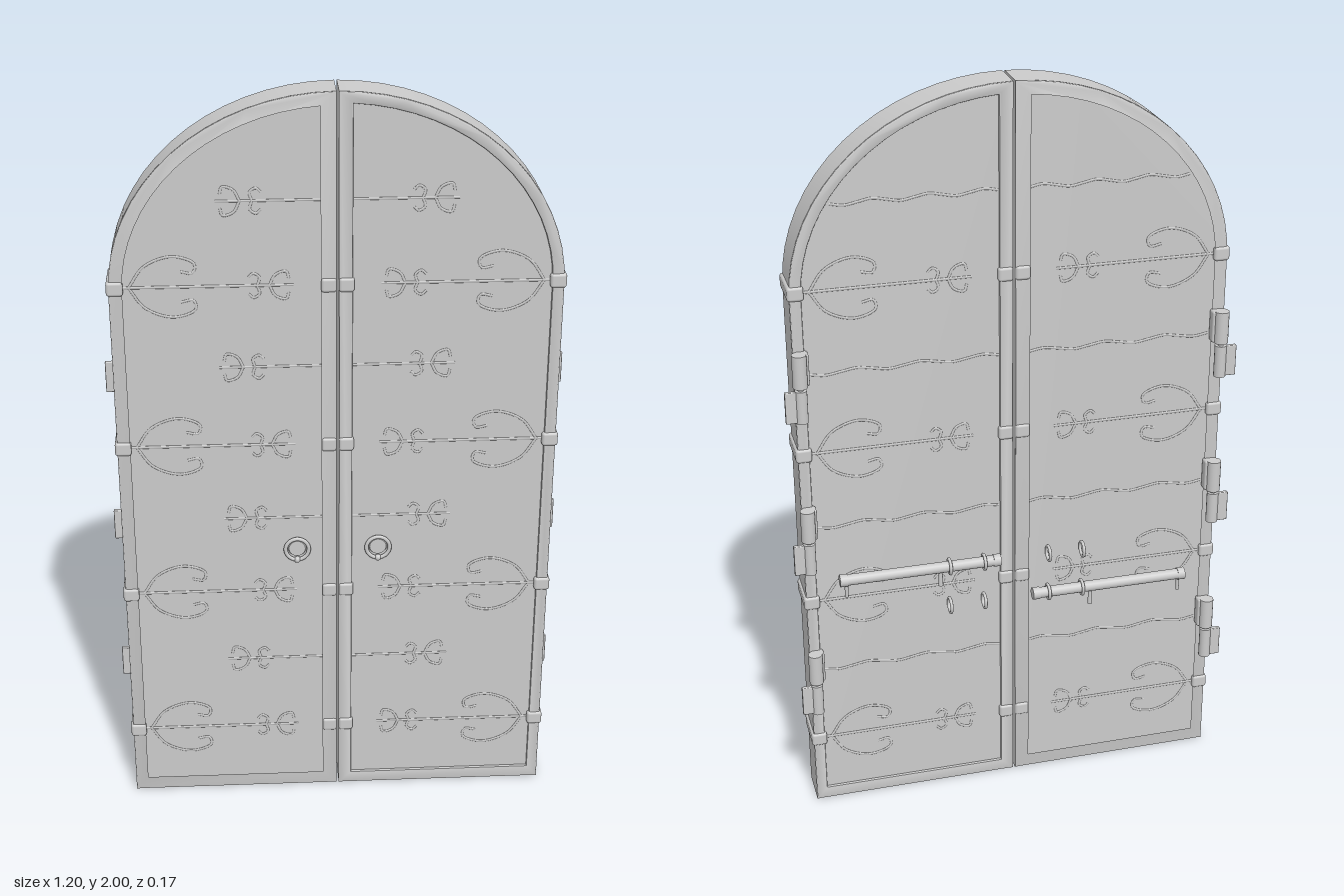
import * as THREE from 'three';
import { mergeGeometries, toCreasedNormals } from 'three/addons/utils/BufferGeometryUtils.js';
import { RoundedBoxGeometry } from 'three/addons/geometries/RoundedBoxGeometry.js';

const mat = new THREE.MeshStandardMaterial({ color: 0xcccccc });
const BACK = -0.037, FRONT = 0.072;        // faces of the metal frame
const PANEL_BACK = -0.029, PANEL_FRONT = 0.063;
const BOLT_Z = -0.06;
const CLIPS = [0.2, 0.635, 1.07, 1.51];
const MIDS = [0.42, 0.855, 1.29, 1.73];

function add(parent, name, geo, x = 0, y = 0, z = 0) {
  const mesh = new THREE.Mesh(geo, mat);
  mesh.name = name;
  mesh.position.set(x, y, z);
  parent.add(mesh);
  return mesh;
}

// Outline of one leaf: straight sides and a quarter-ellipse top
function outline(s, inset, x0, y0) {
  const a = 0.57 - inset, b = 0.5 - inset, end = Math.acos(x0 / a), n = 16;
  const pts = [new THREE.Vector2(s * a, y0)];
  for (let i = 0; i <= n; i++) {
    const t = end * i / n;
    pts.push(new THREE.Vector2(s * a * Math.cos(t), 1.5 + b * Math.sin(t)));
  }
  pts.push(new THREE.Vector2(s * x0, y0));
  return pts;
}

function extrude(shape, z0, z1, bevel = 0) {
  const geo = new THREE.ExtrudeGeometry(shape, {
    depth: z1 - z0 - 2 * bevel, bevelEnabled: bevel > 0, bevelSize: bevel,
    bevelThickness: bevel, bevelOffset: -bevel, bevelSegments: 2,
  });
  geo.translate(0, 0, z0 + bevel);
  return toCreasedNormals(geo, 0.6);
}

const box = (w, h, d) => new RoundedBoxGeometry(w, h, d, 2, Math.min(w, h, d) * 0.2);

// Flattened iron rod following a curve in the panel plane
function rod(points, s, y, z, r = 0.0035) {
  const curve = new THREE.CatmullRomCurve3(points.map(([u, v]) => new THREE.Vector3(s * u, v, 0)));
  const geo = new THREE.TubeGeometry(curve, 6 * points.length, r, 6);
  geo.scale(1, 1, 0.5);
  return geo.translate(0, y, z);
}

// Curled petals around the end of a strap
function finial(cx, dir, s, y, z) {
  const rods = [rod([[cx, 0], [cx + dir * 0.06, 0]], s, y, z)];
  for (const m of [-1, 1]) {
    const petal = (pts) => rods.push(rod(pts.map(([u, v]) => [cx + dir * u, m * v]), s, y, z));
    petal([[0, 0], [0.015, 0.028], [0.042, 0.036], [0.048, 0.018]]);
    petal([[-0.03, 0], [-0.025, 0.022], [-0.04, 0.032], [-0.052, 0.022]]);
  }
  return rods;
}

function ironwork(s, z, isBack) {
  const rods = [];
  for (const y of CLIPS) {
    rods.push(rod([[0.54, 0], [0.35, 0], [0.17, 0]], s, y, z, 0.004));
    for (const m of [-1, 1]) {
      rods.push(rod([[0.52, 0], [0.48, 0.055], [0.41, 0.08], [0.355, 0.06],
        [0.36, 0.036], [0.39, 0.04]].map(([u, v]) => [u, m * v]), s, y, z));
    }
    rods.push(...finial(0.17, -1, s, y, z));
  }
  for (const y of MIDS) {
    if (isBack) {
      const end = y > 1.5 ? 0.46 : 0.53, wave = [];
      for (let i = 0; i <= 12; i++) {
        wave.push([0.04 + (end - 0.04) * i / 12, 0.006 * Math.sin(i * Math.PI / 2)]);
      }
      rods.push(rod(wave, s, y, z));
    } else {
      rods.push(rod([[0.04, 0], [0.14, 0], [0.24, 0]], s, y, z), ...finial(0.24, 1, s, y, z));
    }
  }
  return mergeGeometries(rods);
}

function hinge(s, y) {
  const g = new THREE.Group();
  g.name = 'hinge';
  const x = s * 0.557;
  add(g, 'upperKnuckle', new THREE.CylinderGeometry(0.019, 0.019, 0.088, 16), x, y + 0.05, BOLT_Z + 0.004);
  add(g, 'doorPlate', box(0.034, 0.088, 0.03), x - s * 0.008, y + 0.05, -0.043);
  add(g, 'lowerKnuckle', new THREE.CylinderGeometry(0.016, 0.016, 0.088, 16), x, y - 0.045, BOLT_Z + 0.002);
  add(g, 'wallPlate', box(0.042, 0.085, 0.012), s * 0.578, y - 0.045, BOLT_Z);
  add(g, 'pin', new THREE.CylinderGeometry(0.008, 0.008, 0.18, 10), x, y, BOLT_Z + 0.002);
  return g;
}

// Sliding bolt lying across the back of a leaf
function bolt(s, y) {
  const g = new THREE.Group();
  g.name = 'bolt';
  const bar = add(g, 'bar', new THREE.CylinderGeometry(0.015, 0.015, 0.435, 16), s * 0.265, y, BOLT_Z);
  bar.rotation.z = Math.PI / 2;
  for (const x of [0.055, 0.472]) {
    const cap = add(g, 'endCollar', new THREE.CylinderGeometry(0.017, 0.017, 0.02, 16), s * x, y, BOLT_Z);
    cap.rotation.z = Math.PI / 2;
  }
  add(g, 'stopPin', new THREE.CylinderGeometry(0.005, 0.005, 0.04, 8), s * 0.465, y - 0.03, BOLT_Z);
  add(g, 'handle', new THREE.CylinderGeometry(0.005, 0.007, 0.045, 8), s * 0.21, y - 0.032, BOLT_Z);
  return g;
}

// Ring staple holding a bolt
function keeper(x, y) {
  const ring = add(new THREE.Group(), 'boltKeeper', new THREE.TorusGeometry(0.02, 0.0045, 8, 20), x, y, BOLT_Z);
  ring.rotation.y = Math.PI / 2;
  return ring;
}

function pullRing(s) {
  const g = new THREE.Group();
  g.name = 'pullRing';
  g.position.set(s * 0.108, 0.762, 0);
  const plate = add(g, 'plate', new THREE.CylinderGeometry(0.022, 0.025, 0.006, 20), 0, 0, PANEL_FRONT + 0.002);
  plate.rotation.x = Math.PI / 2;
  add(g, 'ring', new THREE.TorusGeometry(0.031, 0.0055, 8, 28), 0, 0, 0.072);
  add(g, 'clasp', new THREE.SphereGeometry(0.009, 12, 8), 0, -0.031, 0.072);
  return g;
}

function leaf(s) {
  const g = new THREE.Group();
  g.name = s > 0 ? 'leftLeaf' : 'rightLeaf';

  // Boarded panel, set back inside the frame
  add(g, 'panel', extrude(new THREE.Shape(outline(s, 0.008, 0.011, 0.02)), PANEL_BACK, PANEL_FRONT));

  // Outer rim, open along the bottom
  const rim = [...outline(s, 0, 0.003, 0), ...outline(s, 0.008, 0.011, 0).reverse()];
  add(g, 'rim', extrude(new THREE.Shape(rim), BACK + 0.002, FRONT - 0.002));

  // Front and back flanges framing the panel
  for (const [name, z0, z1] of [['frontFlange', 0.06, FRONT], ['backFlange', BACK, -0.025]]) {
    const ring = new THREE.Shape(outline(s, 0, 0.003, 0));
    ring.holes.push(new THREE.Path(outline(s, 0.03, 0.038, 0.035)));
    add(g, name, extrude(ring, z0, z1, 0.004));
  }

  // Strap clips gripping both stiles
  const depth = FRONT - BACK + 0.01, mid = (FRONT + BACK) / 2;
  for (const y of CLIPS) {
    add(g, 'outerClip', box(0.042, 0.038, depth), s * 0.555, y, mid);
    add(g, 'innerClip', box(0.039, 0.038, depth), s * 0.0225, y, mid);
  }

  add(g, 'frontIronwork', ironwork(s, PANEL_FRONT, false));
  add(g, 'backIronwork', ironwork(s, PANEL_BACK, true));

  for (const y of [0.393, 0.828, 1.264]) g.add(hinge(s, y));
  g.add(pullRing(s), bolt(s, s > 0 ? 0.705 : 0.585));
  for (const y of [0.585, 0.705]) for (const x of [0.09, 0.185]) g.add(keeper(s * x, y));
  return g;
}

export function createModel() {
  const model = new THREE.Group();
  model.name = 'archedDoubleDoor';
  model.add(leaf(1), leaf(-1));
  return model;
}
